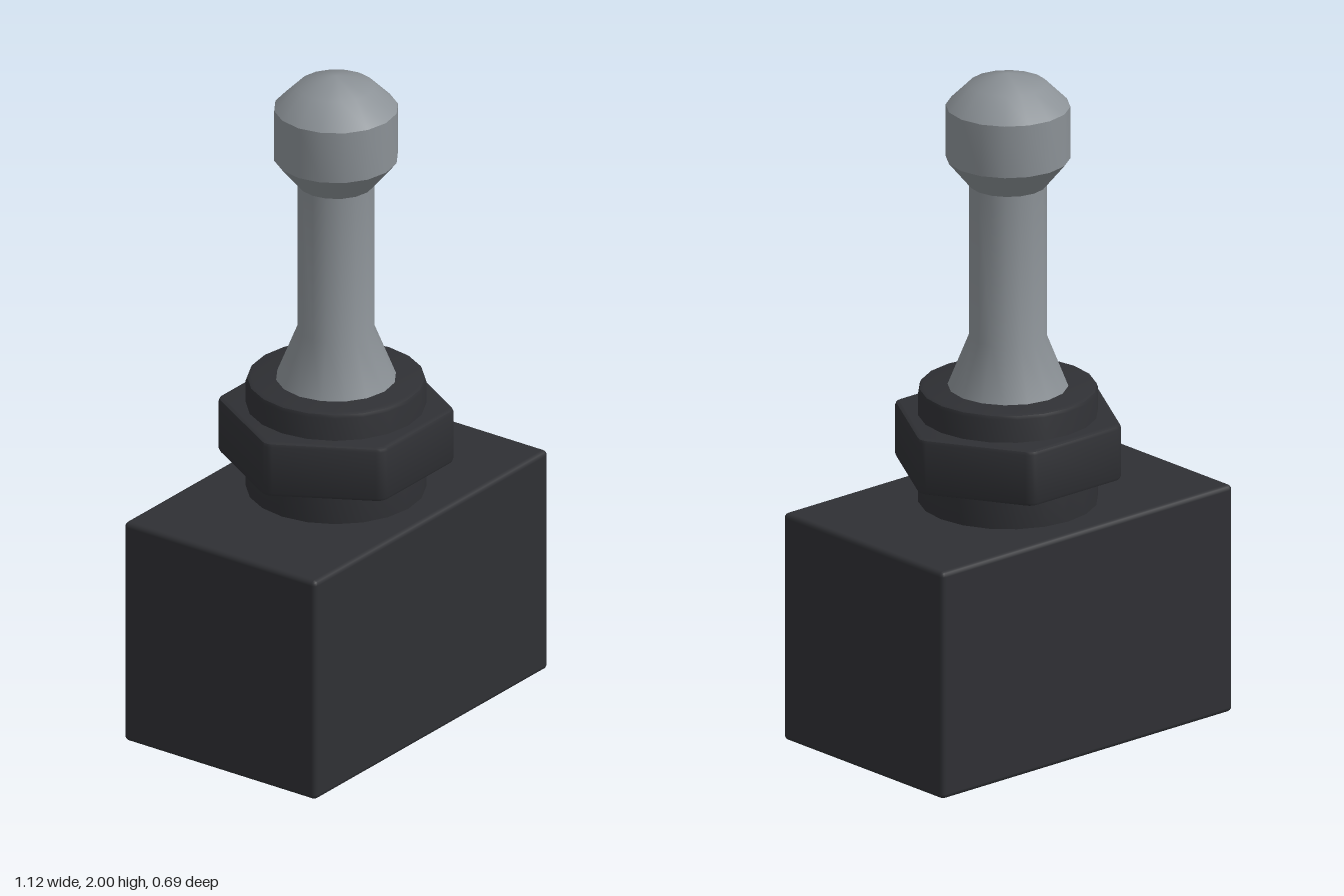
import * as THREE from 'three';
import { toCreasedNormals } from 'three/addons/utils/BufferGeometryUtils.js';
import { RoundedBoxGeometry } from 'three/addons/geometries/RoundedBoxGeometry.js';

const dark = new THREE.MeshStandardMaterial({ color: 0x2f3034 });
const steel = new THREE.MeshStandardMaterial({ color: 0x8b9196 });

// Turned part from [radius, height] pairs, listed bottom to top
function turned(profile, sides) {
  const points = profile.map(([r, y]) => new THREE.Vector2(r, y));
  return toCreasedNormals(new THREE.LatheGeometry(points, sides), 0.6);
}

// Hexagonal prism standing on y = 0, with softened corners and edges
function hexNut(apothem, height, bevel) {
  const radius = (apothem - bevel) / Math.cos(Math.PI / 6);
  const corner = (i) => new THREE.Vector2(Math.cos(i * Math.PI / 3), Math.sin(i * Math.PI / 3)).multiplyScalar(radius);
  const shape = new THREE.Shape();
  for (let i = 0; i < 6; i++) {
    const c = corner(i);
    const a = c.clone().lerp(corner(i - 1), 0.05);
    const b = c.clone().lerp(corner(i + 1), 0.05);
    if (i === 0) shape.moveTo(a.x, a.y);
    else shape.lineTo(a.x, a.y);
    shape.quadraticCurveTo(c.x, c.y, b.x, b.y);
  }
  shape.closePath();
  const geometry = new THREE.ExtrudeGeometry(shape, {
    depth: height - 2 * bevel, bevelSize: bevel, bevelThickness: bevel,
    bevelSegments: 2, curveSegments: 3,
  });
  geometry.translate(0, 0, bevel).rotateX(-Math.PI / 2);
  return toCreasedNormals(geometry, 0.6);
}

export function createModel() {
  const model = new THREE.Group();
  model.name = 'toggleSwitch';
  const add = (name, geometry, material, y = 0) => {
    const mesh = new THREE.Mesh(geometry, material);
    mesh.name = name;
    mesh.position.y = y;
    model.add(mesh);
  };

  // Switch body
  add('body', new RoundedBoxGeometry(1.125, 0.695, 0.69, 2, 0.015), dark, 0.3475);

  // Bushing rising out of the body, with a softened rim
  add('bushing', turned([[0, 0.68], [0.26, 0.68], [0.26, 1.03], [0.256, 1.04], [0.246, 1.044], [0, 1.044]], 20), dark);

  // Mounting nut around the bushing
  add('nut', hexNut(0.3, 0.17, 0.012), dark, 0.79);

  // Flared lever with a domed knob
  add('lever', turned([
    [0, 1.03], [0.18, 1.03], [0.112, 1.2], [0.112, 1.66],
    [0.18, 1.742], [0.18, 1.9], [0.112, 1.968], [0, 2],
  ], 16), steel);

  return model;
}
